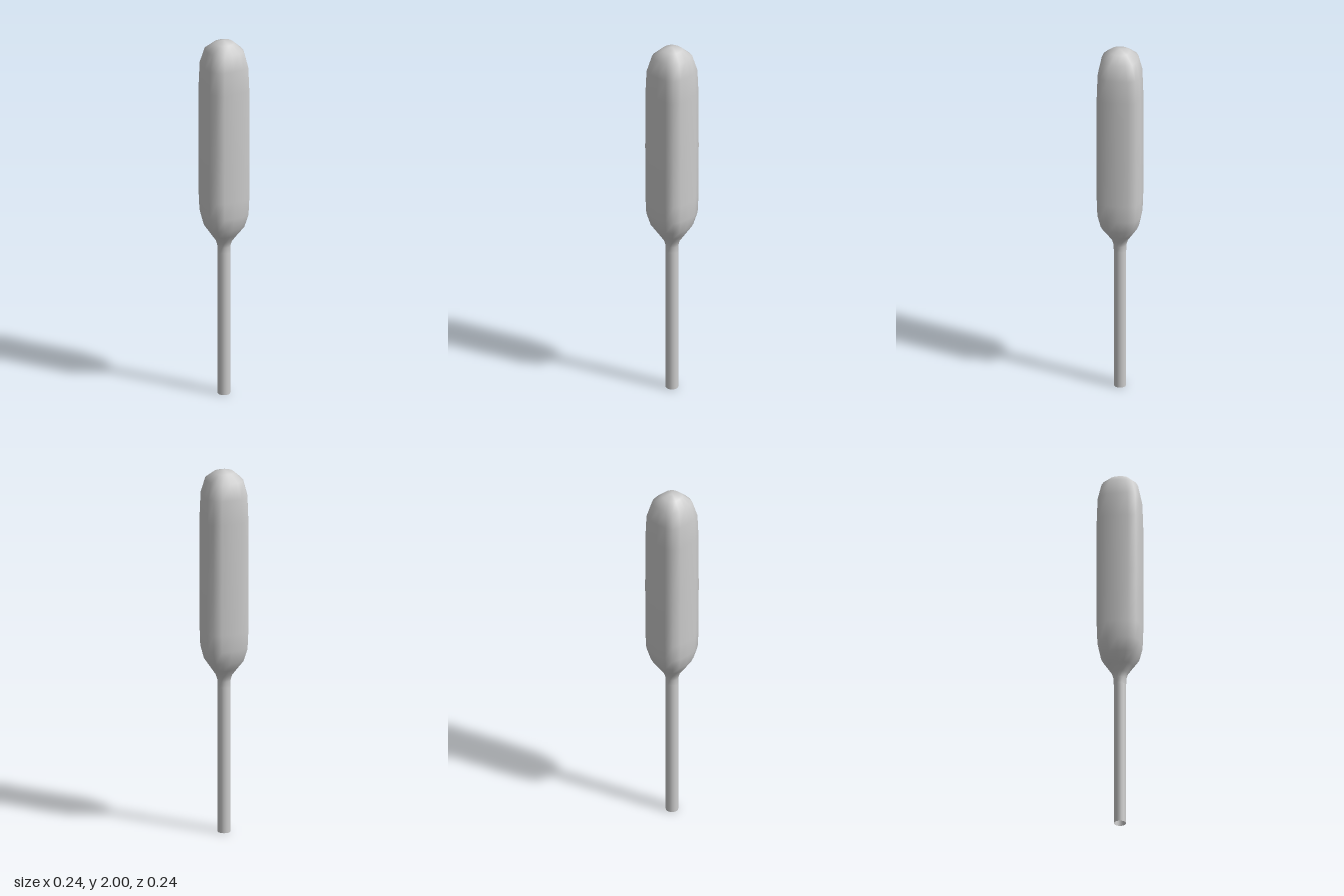
import * as THREE from 'three';

// Sixteen-sided ring; square = 0 is round, square = 1 is a rounded square
function ringPoints(radius, square) {
  const mix = (a, b) => radius * (a + (b - a) * square);
  const mx = mix(0.924, 0.975), my = mix(0.383, 0.48), c = mix(0.707, 0.835);
  const quarter = [[radius, 0], [mx, my], [c, c], [my, mx]];
  const points = [];
  for (let q = 0; q < 4; q++) {
    for (let [x, z] of quarter) {
      for (let k = 0; k < q; k++) [x, z] = [-z, x];
      points.push([x, z]);
    }
  }
  return points;
}

// Smooth skin over rings listed from bottom to top as [y, radius, square]
function loft(rings, tipY) {
  const n = 16, positions = [], index = [];
  for (const [y, r, s] of rings) {
    for (const [x, z] of ringPoints(r, s)) positions.push(x, y, z);
  }
  for (let i = 0; i < rings.length - 1; i++) {
    for (let j = 0; j < n; j++) {
      const a = i * n + j, b = i * n + (j + 1) % n;
      index.push(a, a + n, b, b, a + n, b + n);
    }
  }
  // Close the top with a fan
  if (tipY !== undefined) {
    const tip = positions.length / 3, base = (rings.length - 1) * n;
    positions.push(0, tipY, 0);
    for (let j = 0; j < n; j++) index.push(base + j, tip, base + (j + 1) % n);
  }
  const geometry = new THREE.BufferGeometry();
  geometry.setAttribute('position', new THREE.Float32BufferAttribute(positions, 3));
  geometry.setIndex(index);
  geometry.computeVertexNormals();
  return geometry;
}

export function createModel() {
  const group = new THREE.Group();
  const grey = new THREE.MeshStandardMaterial({ color: 0xcccccc, side: THREE.DoubleSide });
  grey.name = 'light grey';

  // Long rounded-square head, narrowing into a neck
  const head = new THREE.Mesh(loft([
    [0.8, 0.033, 0],
    [0.835, 0.034, 0],
    [0.865, 0.042, 0.1],
    [0.905, 0.068, 0.35],
    [0.955, 0.1, 0.65],
    [1.025, 0.115, 0.95],
    [1.12, 0.118, 1],
    [1.42, 0.119, 1],
    [1.73, 0.118, 1],
    [1.86, 0.114, 0.95],
    [1.945, 0.096, 0.6],
    [1.985, 0.052, 0.4],
  ], 2), grey);
  head.name = 'head';
  group.add(head);

  // Thin round stem, open at the foot
  const stem = new THREE.Mesh(new THREE.CylinderGeometry(0.033, 0.033, 0.8, 16, 1, true), grey);
  stem.position.y = 0.4;
  stem.name = 'stem';
  group.add(stem);

  return group;
}
